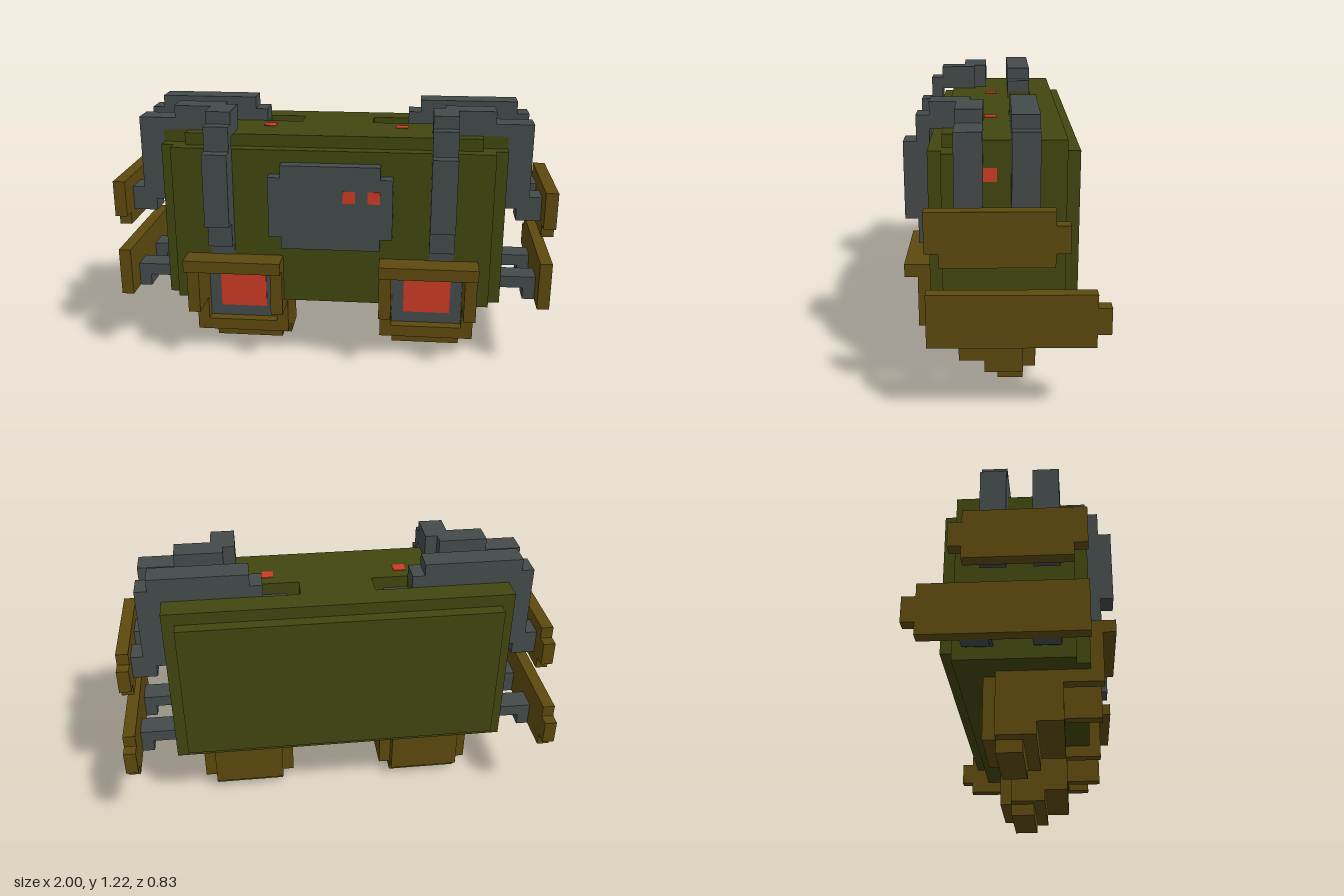
import * as THREE from 'three';

const U = 1 / 18; // one block
const mat = (name, color) => {
  const m = new THREE.MeshStandardMaterial({ color });
  m.name = name;
  return m;
};

export function createModel() {
  const model = new THREE.Group();
  model.name = 'blockRobot';
  const green = mat('olive green', 0x41460f);
  const gray = mat('slate gray', 0x444a4a);
  const brown = mat('ochre brown', 0x5d490e);
  const red = mat('signal red', 0xcc3a24);

  // Box from its limits, in blocks
  const box = (name, m, x0, x1, y0, y1, z0, z1, parent = model) => {
    const g = new THREE.BoxGeometry((x1 - x0) * U, (y1 - y0) * U, (z1 - z0) * U);
    g.translate((x0 + x1) / 2 * U, (y0 + y1) / 2 * U, (z0 + z1) / 2 * U);
    const mesh = new THREE.Mesh(g, m);
    mesh.name = name;
    parent.add(mesh);
    return mesh;
  };
  const outline = (pts, Type = THREE.Shape) => new Type(pts.map(([x, y]) => new THREE.Vector2(x * U, y * U)));

  // Front slice of the body, notched around both lamps
  const slice = (name, w, z0, z1) => {
    const shape = outline([
      [-w, 6], [-11.5, 6], [-11.5, 9.5], [-4.5, 9.5], [-4.5, 6],
      [4.5, 6], [4.5, 9.5], [11.5, 9.5], [11.5, 6], [w, 6], [w, 19], [-w, 19],
    ]);
    const g = new THREE.ExtrudeGeometry(shape, { depth: (z1 - z0) * U, bevelEnabled: false });
    g.translate(0, 0, z0 * U);
    const mesh = new THREE.Mesh(g, green);
    mesh.name = name;
    model.add(mesh);
  };

  // Body
  box('bodyCore', green, -14, 14, 6, 18, -4.5, 2.5);
  slice('bodyFront', 14, 2.5, 4.5);
  slice('chestPlate', 13, 4.5, 5.5);
  box('frontRidge', green, -12, 12, 19, 20, 3.5, 4.5);
  box('backPlate', green, -13, 13, 7, 19, -5.5, -4.5);

  // Body top with two slots for the rear arms
  const top = outline([[-14, -3.5], [14, -3.5], [14, 4.5], [-14, 4.5]]);
  for (const [a, b] of [[3, 6], [-6, -3]]) {
    top.holes.push(outline([[a, 0.5], [a, 2.5], [b, 2.5], [b, 0.5]], THREE.Path));
  }
  const topGeo = new THREE.ExtrudeGeometry(top, { depth: 2 * U, bevelEnabled: false });
  topGeo.rotateX(-Math.PI / 2).translate(0, 18 * U, 0);
  const bodyTop = new THREE.Mesh(topGeo, green);
  bodyTop.name = 'bodyTop';
  model.add(bodyTop);

  // Face and eyes
  box('face', gray, -5, 5, 12, 17, 5.5, 6.5);
  box('faceTopBottom', gray, -4, 4, 11, 18, 5.5, 6.5);
  for (const x of [1, 3]) box('eye', red, x, x + 1, 15, 16, 6.45, 6.55);

  for (const s of [1, -1]) {
    const side = new THREE.Group();
    side.name = s > 0 ? 'leftSide' : 'rightSide';
    model.add(side);
    const part = (name, m, a, b, ...rest) =>
      box(name, m, Math.min(a * s, b * s), Math.max(a * s, b * s), ...rest, side);

    // Small lights on top and side
    part('topLight', red, 5, 6, 19.95, 20.05, 0.5, 1.5);
    part('sideLight', red, 13.95, 14.05, 17, 18, 0.5, 1.5);

    // Outer drop of both upper arms
    for (const z of [-2.5, 1.5]) {
      part('armDrop', gray, 14, 16, 14, 21, z, z + 2);
      part('armWrist', gray, 15, 17, 13, 15, z, z + 2);
    }
    // Rear arm, dipping into its slot
    part('rearArm', gray, 6, 16, 20, 21, -2.5, -0.5);
    part('rearArmTop', gray, 7, 15, 21, 22, -2.5, -0.5);
    part('rearArmDip', gray, 4, 6, 18, 19, -2.5, -0.5);
    part('slotFloor', gray, 3, 6, 17.95, 18.05, -2.5, -0.5);
    // Front arm, bending forward and down over the chest
    part('frontArm', gray, 9, 16, 20, 21, 1.5, 3.5);
    part('frontArmTop', gray, 9, 13, 21, 22, 1.5, 3.5);
    part('frontArmElbow', gray, 8, 10, 20, 22, 2.5, 5.5);
    part('frontArmInner', gray, 8, 10, 11, 21, 5.5, 6.5);
    part('frontArmOuter', gray, 8, 10, 13, 19, 6.5, 7.5);
    part('frontArmSocket', gray, 8, 10, 10, 12, 5.4, 5.6);
    // Lower arms
    for (const z of [-3.5, 1.5]) {
      part('lowerArm', gray, 14, 17, 7, 8, z, z + 2);
      part('lowerWrist', gray, 16, 17, 6, 8, z, z + 2);
    }

    // Side shields
    part('upperShield', brown, 17, 18, 12, 16, -3.5, 4.5);
    part('upperShieldFront', brown, 17, 18, 13, 16, 4.5, 5.5);
    part('upperShieldBack', brown, 17, 18, 13, 15, -4.5, -3.5);
    part('lowerShield', brown, 17, 18, 6, 10, -6.5, 5.5);
    part('lowerShieldBack', brown, 17, 18, 7, 9, -7.5, -6.5);

    // Foot
    part('foot', brown, 4, 12, 2, 6, -1.5, 2.5);
    part('footSole', brown, 4, 12, 1, 2, -1.5, 1.5);
    part('footBase', brown, 5, 11, 0, 1, -1.5, 0.5);
    part('footHeel', brown, 5, 11, 1, 6, -2.5, -1.5);
    part('footLip', brown, 4, 12, 2, 3, 2.5, 3.5);

    // Hooded lamp
    for (const x of [4, 11]) {
      part('lampWall', brown, x, x + 1, 3, 10, 2.5, 3.5);
      part('lampPost', brown, x, x + 1, 5, 10, 3.5, 6.5);
    }
    part('lampRoof', brown, 5, 11, 9, 10, 2.5, 6.5);
    part('lampVisor', brown, 4, 12, 9, 10, 6.5, 7.5);
    part('lampPanel', gray, 5, 11, 3, 9, 2.5, 2.6);
    part('lampGlow', red, 6, 10, 4, 8, 2.6, 2.7);
  }
  return model;
}
